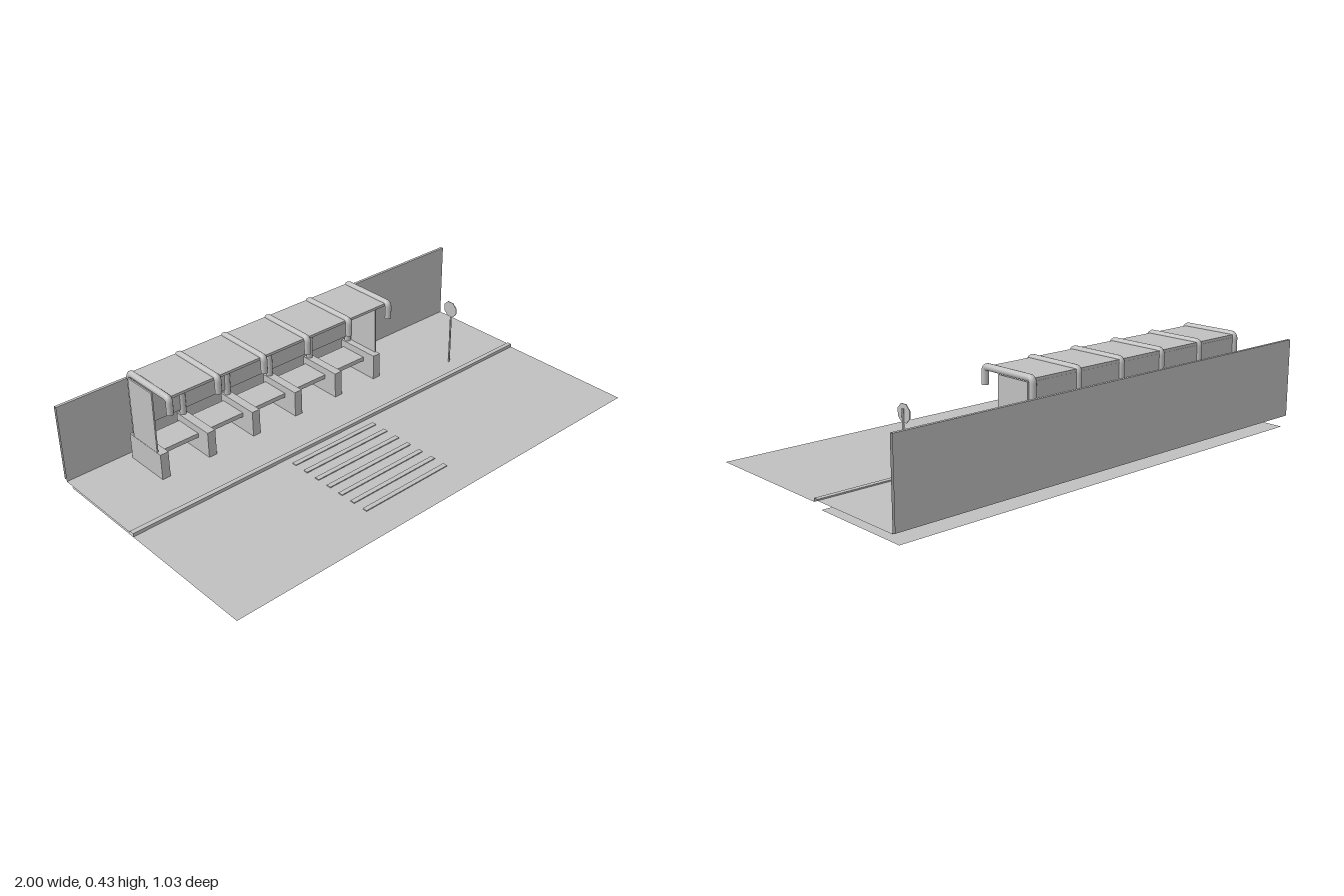
import * as THREE from 'three';

export function createModel() {
  const model = new THREE.Group();
  model.name = 'busStop';
  const grey = new THREE.MeshStandardMaterial({ color: 0xc0c0c0, side: THREE.DoubleSide });
  grey.name = 'concreteGrey';

  function add(name, geometry, parent = model) {
    const mesh = new THREE.Mesh(geometry, grey);
    mesh.name = name;
    parent.add(mesh);
    return mesh;
  }

  // Box given by its min and max on each axis
  function box(name, x0, x1, y0, y1, z0, z1, parent) {
    const mesh = add(name, new THREE.BoxGeometry(x1 - x0, y1 - y0, z1 - z0), parent);
    mesh.position.set((x0 + x1) / 2, (y0 + y1) / 2, (z0 + z1) / 2);
    return mesh;
  }

  // Open strip running along x through [z, y] profile points
  function strip(name, halfWidth, points) {
    const positions = [];
    for (let i = 0; i < points.length - 1; i++) {
      const [z0, y0] = points[i];
      const [z1, y1] = points[i + 1];
      const a = [-halfWidth, y0, z0], b = [halfWidth, y0, z0];
      const c = [halfWidth, y1, z1], d = [-halfWidth, y1, z1];
      positions.push(...a, ...b, ...c, ...a, ...c, ...d);
    }
    const geometry = new THREE.BufferGeometry();
    geometry.setAttribute('position', new THREE.Float32BufferAttribute(positions, 3));
    geometry.computeVertexNormals();
    return add(name, geometry);
  }

  // Ground: road, raised pavement with kerb, lower slab and rear wall
  strip('road', 1, [[0.517, 0.031], [-0.07, 0.031]]);
  strip('kerb', 1, [[-0.07, 0.031], [-0.07, 0.045], [-0.09, 0.045], [-0.09, 0.04]]);
  strip('pavement', 1, [[-0.09, 0.04], [-0.505, 0.04]]);
  strip('rearWall', 1, [[-0.505, 0.04], [-0.505, 0.365], [-0.517, 0.365], [-0.517, 0.045]]);
  strip('lowerSlab', 0.98, [[-0.08, 0], [-0.51, 0]]);

  // Crossing stripes
  for (let i = 0; i < 7; i++) {
    const z = 0.367 - i * 0.0653;
    box('crossingStripe', -0.3, 0.12, 0.026, 0.035, z - 0.01, z + 0.01);
  }

  // Shelter
  const shelter = new THREE.Group();
  shelter.name = 'shelter';
  model.add(shelter);
  const firstX = -0.713, spacing = 0.216, count = 6;
  const lastX = firstX + spacing * (count - 1);

  // Hooped tube frames, rising from footings and hooking down at the front
  const p = (z, y) => new THREE.Vector3(0, y, z);
  const path = new THREE.CurvePath();
  path.add(new THREE.LineCurve3(p(-0.453, 0.148), p(-0.453, 0.401)));
  path.add(new THREE.QuadraticBezierCurve3(p(-0.453, 0.401), p(-0.453, 0.417), p(-0.437, 0.417)));
  path.add(new THREE.LineCurve3(p(-0.437, 0.417), p(-0.224, 0.417)));
  path.add(new THREE.QuadraticBezierCurve3(p(-0.224, 0.417), p(-0.208, 0.417), p(-0.208, 0.401)));
  path.add(new THREE.LineCurve3(p(-0.208, 0.401), p(-0.208, 0.352)));
  const tube = new THREE.TubeGeometry(path, 100, 0.0135, 12, false);
  const cap = new THREE.CircleGeometry(0.0135, 12).rotateX(Math.PI / 2);
  for (let i = 0; i < count; i++) {
    const x = firstX + i * spacing;
    add('frameHoop', tube, shelter).position.x = x;
    add('hoopEnd', cap, shelter).position.set(x, 0.352, -0.208);
    box('footing', x - 0.018, x + 0.018, 0.04, 0.15, -0.472, -0.273, shelter);
    if (i < count - 1) {
      box('benchSeat', x + 0.018, x + spacing - 0.018, 0.102, 0.12, -0.46, -0.335, shelter);
    }
  }

  // Roof, back and end panels
  box('roofPanel', firstX, lastX, 0.407, 0.418, -0.455, -0.215, shelter);
  box('backPanel', firstX, lastX, 0.172, 0.407, -0.456, -0.45, shelter);
  for (const x of [firstX - 0.014, lastX + 0.014]) {
    box('endPanel', x - 0.003, x + 0.003, 0.148, 0.406, -0.445, -0.295, shelter);
  }

  // Sign: thin pole with an octagonal plate facing sideways
  const sign = new THREE.Group();
  sign.name = 'stopSign';
  sign.position.set(0.69, 0, -0.158);
  model.add(sign);
  const pole = add('signPole', new THREE.CylinderGeometry(0.004, 0.004, 0.272, 8), sign);
  pole.position.set(0.002, 0.176, 0);
  const plateGeometry = new THREE.CylinderGeometry(0.036, 0.036, 0.003, 8)
    .rotateY(Math.PI / 8).rotateZ(Math.PI / 2);
  add('signPlate', plateGeometry, sign).position.set(-0.003, 0.296, 0);

  return model;
}
